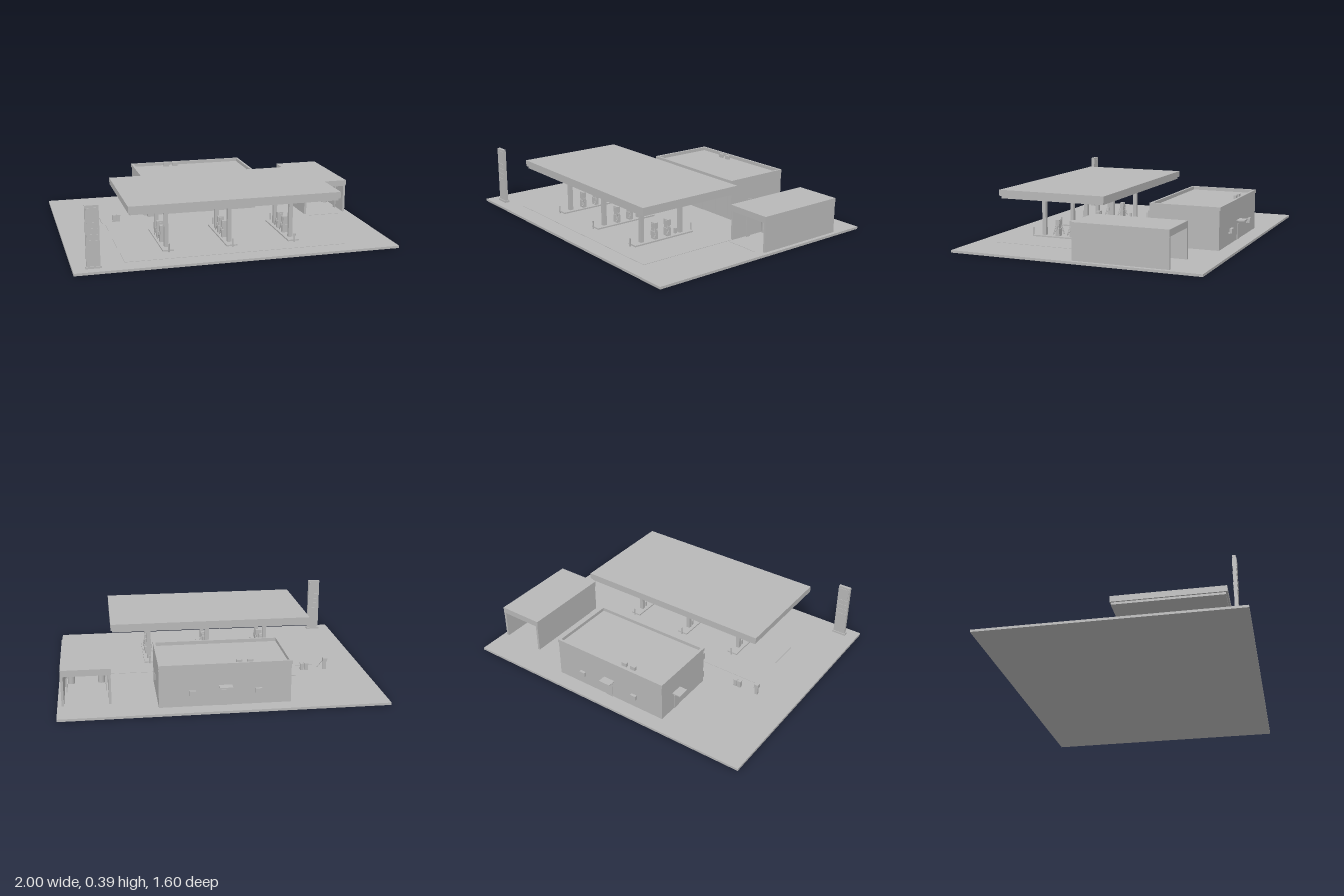
import * as THREE from 'three';

export function createModel() {
  const root = new THREE.Group();
  const grey = new THREE.MeshStandardMaterial({ color: 0xb8b8b8 });
  grey.name = 'plain grey';

  const add = (name, geo, parent = root) => {
    const m = new THREE.Mesh(geo, grey);
    m.name = name;
    parent.add(m);
    return m;
  };
  // box given by its minimum and maximum on each axis
  const box = (name, x0, x1, y0, y1, z0, z1, parent) => {
    const m = add(name, new THREE.BoxGeometry(x1 - x0, y1 - y0, z1 - z0), parent);
    m.position.set((x0 + x1) / 2, (y0 + y1) / 2, (z0 + z1) / 2);
    return m;
  };
  const post = (name, x, z, y0, y1, r, parent) => {
    const m = add(name, new THREE.CylinderGeometry(r, r, y1 - y0, 16), parent);
    m.position.set(x, (y0 + y1) / 2, z);
    return m;
  };
  const hose = (name, pts, r, parent) => add(name, new THREE.TubeGeometry(
    new THREE.CatmullRomCurve3(pts.map(p => new THREE.Vector3(...p))), 12, r, 6), parent);
  const group = name => {
    const g = new THREE.Group();
    g.name = name;
    root.add(g);
    return g;
  };
  const G = 0.015; // ground level

  // Ground and forecourt
  box('ground', -1, 1, 0, G, -0.8, 0.8);
  box('forecourtPad', -0.69, 0.69, G, G + 0.002, -0.08, 0.68);

  // Canopy with a stepped edge
  const canopy = group('canopy');
  box('canopyFascia', -0.66, 0.66, 0.305, 0.345, -0.06, 0.66, canopy);
  box('canopySoffit', -0.65, 0.65, 0.29, 0.305, -0.05, 0.65, canopy);

  // Pump islands
  for (const x of [-0.4, 0, 0.4]) {
    const island = group('pumpIsland');
    box('islandKerb', x - 0.035, x + 0.035, G, 0.026, 0.1, 0.55, island);
    for (const z of [0.18, 0.48])
      box('canopyColumn', x - 0.0125, x + 0.0125, 0.026, 0.29, z - 0.0125, z + 0.0125, island);
    for (const z of [0.09, 0.565]) post('bollard', x, z, G, 0.07, 0.005, island);
    box('bin', x - 0.008, x + 0.008, 0.026, 0.06, 0.208, 0.224, island);
    for (const z of [0.28, 0.38]) {
      box('pumpBase', x - 0.02, x + 0.02, 0.026, 0.075, z - 0.013, z + 0.013, island);
      box('pumpNeck', x - 0.016, x + 0.016, 0.075, 0.1, z - 0.008, z + 0.008, island);
      box('pumpHead', x - 0.02, x + 0.02, 0.095, 0.132, z - 0.012, z + 0.012, island);
      for (const s of [-1, 1]) {
        box('pumpScreen', x - 0.012, x + 0.012, 0.105, 0.125,
          z + s * 0.013 - 0.002, z + s * 0.013 + 0.002, island);
        box('nozzle', x + s * 0.023 - 0.004, x + s * 0.023 + 0.004, 0.07, 0.09, z - 0.005, z + 0.005, island);
        hose('pumpHose', [[x + s * 0.018, 0.1, z + s * 0.01], [x + s * 0.025, 0.065, z + s * 0.018],
          [x + s * 0.027, 0.033, z + s * 0.028], [x + s * 0.024, 0.07, z + s * 0.004]], 0.0018, island);
      }
    }
  }

  // Shop with parapet roof
  const shop = group('shop');
  box('shopBody', -0.4, 0.4, G, 0.258, -0.7, -0.25, shop);
  box('parapetFront', -0.405, 0.4, 0.258, 0.28, -0.265, -0.25, shop);
  box('parapetBack', -0.405, 0.4, 0.258, 0.28, -0.705, -0.69, shop);
  box('parapetSide', -0.405, -0.388, 0.258, 0.28, -0.69, -0.265, shop);
  box('parapetSide', 0.385, 0.4, 0.258, 0.28, -0.69, -0.265, shop);
  box('shopFascia', -0.4, 0.39, 0.185, 0.23, -0.25, -0.235, shop);
  for (let i = 0; i < 6; i++) {
    const x = -0.375 + i * 0.125;
    box('shopWindow', x + 0.005, x + 0.12, i === 3 ? G : 0.045, 0.175, -0.25, -0.246, shop);
  }
  box('iceBox', -0.38, -0.33, G, 0.062, -0.235, -0.21, shop);
  for (const x of [-0.155, -0.09]) {
    box('roofVent', x - 0.018, x + 0.018, 0.258, 0.283, -0.663, -0.645, shop);
  }

  // Rear and side doors with awnings
  box('rearDoor', -0.025, 0.025, G, 0.115, -0.704, -0.7, shop);
  box('rearAwning', -0.04, 0.04, 0.137, 0.143, -0.752, -0.7, shop);
  box('sideDoor', -0.404, -0.4, G, 0.115, -0.575, -0.525, shop);
  box('sideAwning', -0.455, -0.4, 0.137, 0.143, -0.59, -0.51, shop);
  box('doorLamp', -0.425, -0.4, 0.12, 0.137, -0.558, -0.542, shop);
  for (const x of [-0.2, 0.2]) {
    box('coolingUnit', x - 0.02, x + 0.02, 0.09, 0.12, -0.727, -0.71, shop);
    box('coolingBracket', x - 0.012, x + 0.012, 0.086, 0.094, -0.71, -0.7, shop);
  }
  box('meterBox', 0.4, 0.404, 0.09, 0.13, -0.43, -0.405, shop);

  // Drive-through wash tunnel
  const wash = group('washTunnel');
  box('washWall', 0.677, 0.692, G, 0.2, -0.6, -0.002, wash);
  box('washWall', 0.96, 0.975, G, 0.2, -0.6, -0.002, wash);
  box('washRoof', 0.675, 0.977, 0.2, 0.24, -0.6, 0.003, wash);
  for (const z of [-0.12, -0.36]) {
    box('gantryBeam', 0.7, 0.95, 0.178, 0.19, z - 0.015, z + 0.015, wash);
    for (const x of [0.7, 0.944]) box('gantryLeg', x, x + 0.006, G, 0.178, z - 0.015, z + 0.015, wash);
  }
  for (const x of [0.73, 0.92]) post('washBrush', x, -0.24, 0.025, 0.178, 0.022, wash);
  const roller = post('topBrush', 0.825, -0.24, 0.04, 0.2, 0.018, wash);
  roller.rotation.z = Math.PI / 2;
  roller.position.y = 0.165;
  box('washStopLine', 0.7, 0.92, G, G + 0.002, 0.03, 0.036, wash);

  // Price sign tower
  const sign = group('priceSign');
  box('signBase', -0.925, -0.832, G, 0.027, 0.71, 0.742, sign);
  box('signTower', -0.919, -0.838, 0.027, 0.39, 0.716, 0.736, sign);
  for (const [y0, y1] of [[0.305, 0.375], [0.27, 0.288], [0.235, 0.253], [0.2, 0.218], [0.165, 0.183]])
    box('signPanel', -0.911, -0.846, y0, y1, 0.713, 0.739, sign);

  // Air stand with hose, and two waste bins
  const air = group('airStand');
  box('airPost', -0.755, -0.735, G, 0.068, -0.172, -0.158, air);
  box('airHead', -0.76, -0.732, 0.068, 0.092, -0.178, -0.152, air);
  hose('airHose', [[-0.737, 0.075, -0.158], [-0.725, 0.055, -0.145], [-0.71, 0.025, -0.13],
    [-0.7, 0.018, -0.122]], 0.002, air);
  for (const x of [-0.62, -0.592]) {
    box('wasteBin', x - 0.011, x + 0.011, G, 0.055, -0.175, -0.153);
    box('wasteBinLid', x - 0.0125, x + 0.0125, 0.055, 0.061, -0.177, -0.151);
  }

  return root;
}
